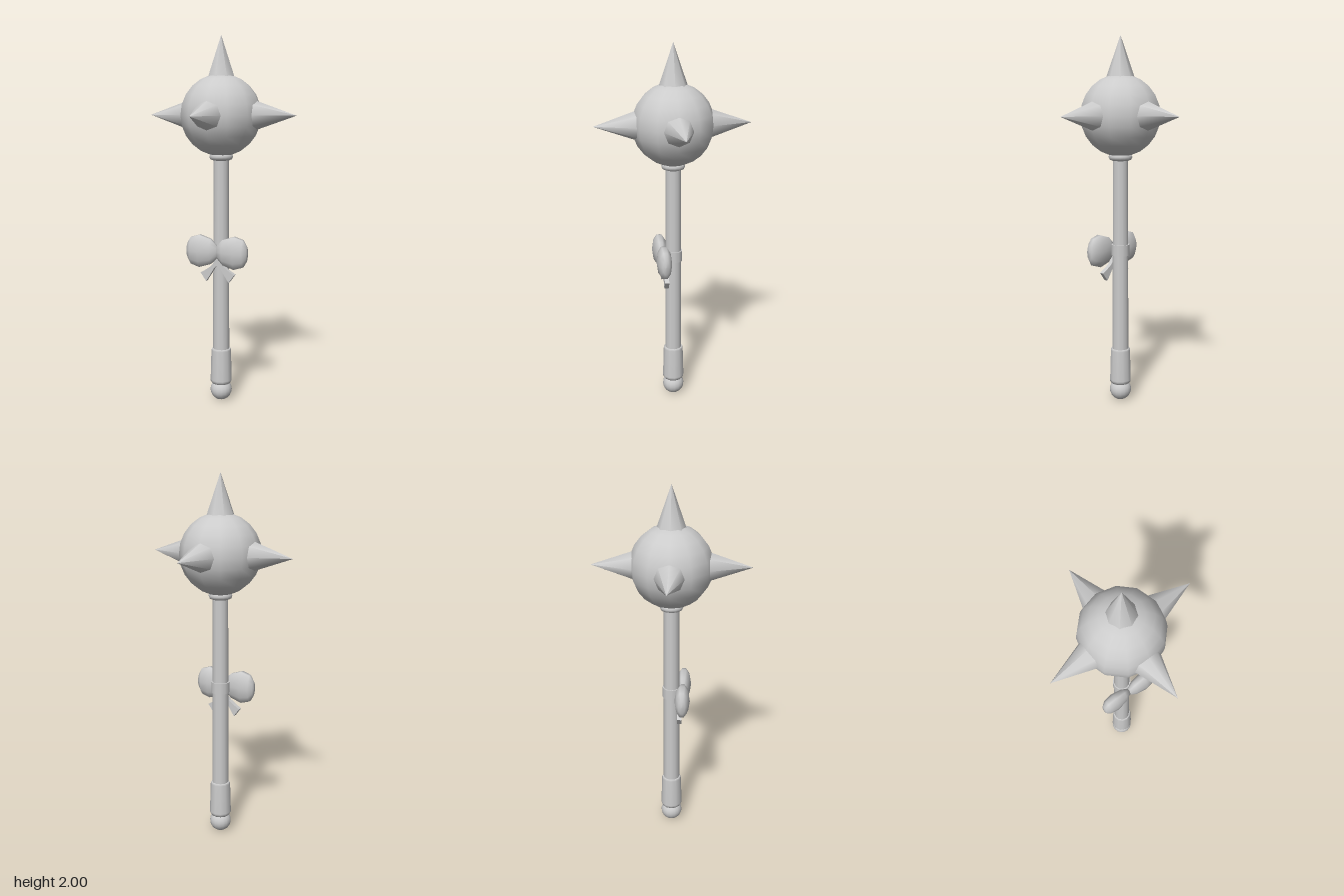
import * as THREE from 'three';

const material = new THREE.MeshStandardMaterial({ color: 0xcccccc, side: THREE.DoubleSide });
const v2 = (list) => list.map(([x, y]) => new THREE.Vector2(x, y));

function add(parent, name, geometry, x = 0, y = 0, z = 0) {
  const mesh = new THREE.Mesh(geometry, material);
  mesh.name = name;
  mesh.position.set(x, y, z);
  parent.add(mesh);
  return mesh;
}

export function createModel() {
  const model = new THREE.Group();
  model.name = 'spikedMace';
  const headY = 1.585;

  // Handle, from the ball at its foot up to the collar
  add(model, 'pommel', new THREE.SphereGeometry(0.06, 16, 12), 0, 0.06);
  add(model, 'grip', new THREE.LatheGeometry(v2([
    [0, 0.1], [0.053, 0.1], [0.06, 0.112], [0.06, 0.12], [0.055, 0.29], [0.05, 0.3], [0, 0.3],
  ]), 12), 0, 0, 0);
  add(model, 'shaft', new THREE.CylinderGeometry(0.041, 0.046, 1.12, 12), 0, 0.84);
  const collar = new THREE.TorusGeometry(0.044, 0.02, 8, 16);
  collar.rotateX(Math.PI / 2);
  add(model, 'collar', collar, 0, 1.366);

  // Head with five spikes: one up, four around
  add(model, 'head', new THREE.SphereGeometry(0.217, 12, 12), 0, headY);
  const up = new THREE.Vector3(0, 1, 0);
  const directions = [[0, 1, 0], [1, 0, 0], [-1, 0, 0], [0, 0, 1], [0, 0, -1]];
  for (const d of directions) {
    const direction = new THREE.Vector3(...d);
    const spike = add(model, 'spike', new THREE.ConeGeometry(0.078, 0.225, 8));
    spike.position.copy(direction).multiplyScalar(0.3025);
    spike.position.y += headY;
    spike.quaternion.setFromUnitVectors(up, direction);
  }

  // Ribbon round the shaft, with a bow in front
  add(model, 'ribbonBand', new THREE.CylinderGeometry(0.05, 0.05, 0.06, 12), 0, 0.86);
  const bow = new THREE.Group();
  bow.name = 'bow';
  bow.position.set(0, 0.857, 0.063);
  model.add(bow);

  const loopProfile = v2([
    [0, 0], [0.035, 0], [0.072, 0.035], [0.093, 0.1], [0.077, 0.15], [0.042, 0.171], [0, 0.174],
  ]);
  const tailShape = new THREE.Shape(v2([
    [0, -0.075], [0.018, -0.092], [0.038, -0.125], [0.065, -0.167],
    [0.098, -0.122], [0.062, -0.1], [0.035, -0.08], [0, -0.035],
  ]));
  for (const turn of [0, Math.PI]) {
    const loop = new THREE.LatheGeometry(loopProfile, 10);
    loop.rotateZ(-Math.PI / 2);
    loop.scale(1, 1, 0.45);
    add(bow, 'bowLoop', loop).rotation.y = turn;

    const tail = new THREE.ExtrudeGeometry(tailShape, { depth: 0.024, bevelEnabled: false });
    tail.translate(0, 0, -0.012);
    add(bow, 'bowTail', tail, 0, 0, -0.016).rotation.y = turn;
  }
  return model;
}
